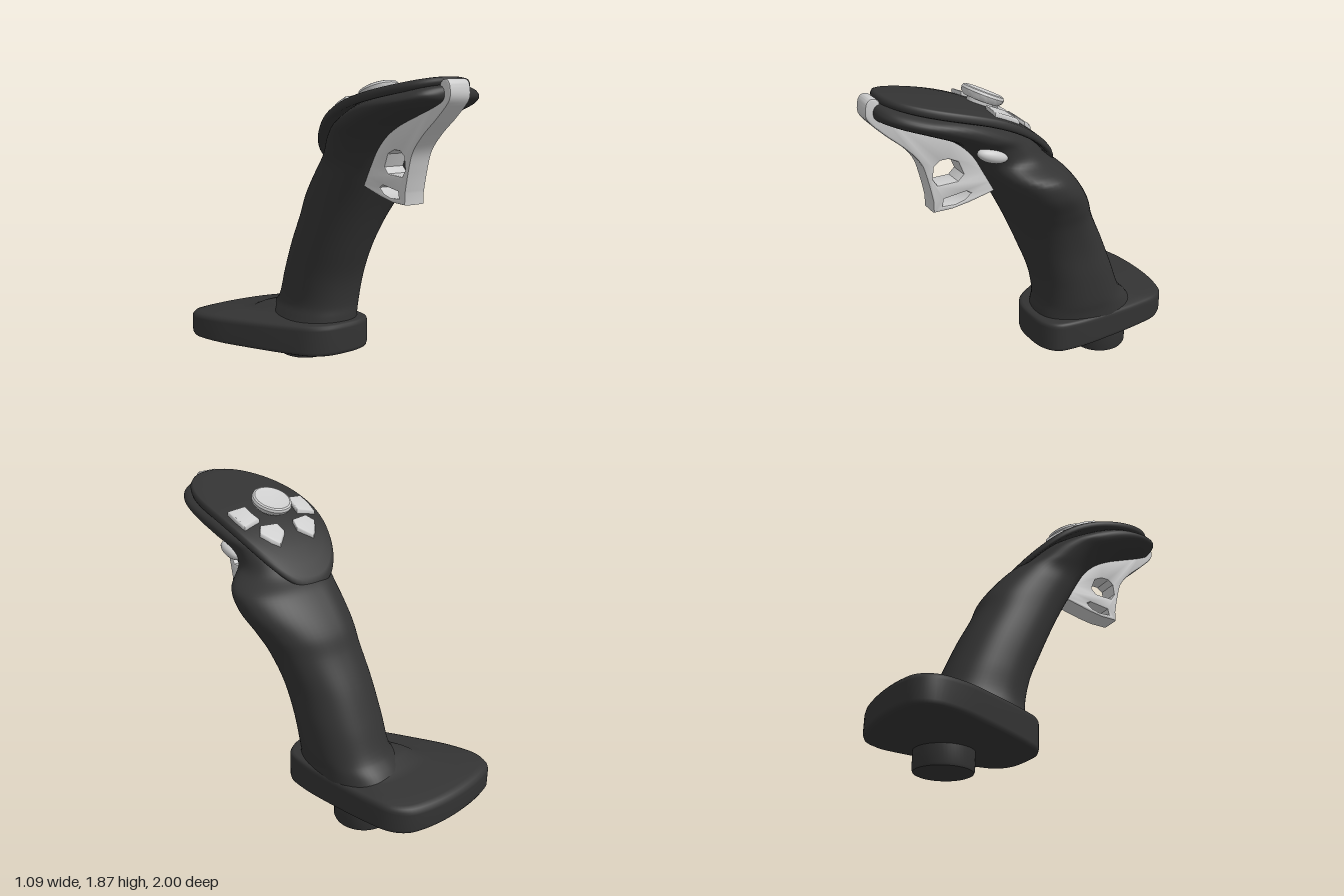
import * as THREE from 'three';
import { toCreasedNormals } from 'three/addons/utils/BufferGeometryUtils.js';

const CX = 0.115; // centre line of the grip
const dark = new THREE.MeshStandardMaterial({ color: 0x333333 });
const grey = new THREE.MeshStandardMaterial({ color: 0xcccccc });

const V2 = (p) => new THREE.Vector2(p[0], p[1]);
const V3 = (p) => new THREE.Vector3(p[0], p[1], p[2]);
const power = (v, e) => Math.sign(v) * Math.abs(v) ** e;

// Height of the curved top plate
function topY(x, z) {
  const u = 0.92 - z;
  return 1.87 - 0.167 * u - 0.31 * u ** 4 - 0.025 * ((x - CX) / 0.325) ** 2;
}

// Smooth skin over closed rings of equal length
function loft(rings) {
  const n = rings[0].length, index = [];
  for (let i = 0; i < rings.length - 1; i++) {
    for (let j = 0; j < n; j++) {
      const a = i * n + j, b = i * n + (j + 1) % n;
      index.push(a, b, b + n, a, b + n, a + n);
    }
  }
  const geometry = new THREE.BufferGeometry().setFromPoints(rings.flat());
  geometry.setIndex(index);
  geometry.computeVertexNormals();
  return geometry;
}

// Grip and head: each row pairs a front point (left-edge x, y, z) with a back point (right-edge x, y, z)
function gripGeometry() {
  const rows = [
    [[-0.2, 0.28, -0.02], [0.335, 0.28, -0.72]],
    [[-0.16, 0.36, -0.025], [0.34, 0.36, -0.66]],
    [[-0.13, 0.43, -0.03], [0.35, 0.43, -0.595]],
    [[-0.125, 0.6, 0.0], [0.36, 0.62, -0.515]],
    [[-0.12, 0.8, 0.08], [0.37, 0.82, -0.43]],
    [[-0.11, 1.0, 0.17], [0.42, 1.02, -0.33]],
    [[-0.105, 1.12, 0.23], [0.475, 1.14, -0.28]],
    [[-0.1, 1.25, 0.3], [0.535, 1.27, -0.19]],
    [[-0.1, 1.36, 0.36], [0.53, 1.36, -0.11]],
    [[-0.13, 1.46, 0.42], [0.41, 1.43, -0.02]],
    [[-0.17, 1.54, 0.5], [0.395, 1.53, 0.07]],
    [[-0.21, 1.6, 0.6], [0.43, 1.62, 0.2]],
    [[-0.215, 1.66, 0.75], [0.445, 1.74, 0.45]],
    [[-0.17, 1.71, 0.88], [0.4, 1.79, 0.7]],
    [[-0.08, 1.745, 0.95], [0.31, 1.825, 0.88]],
    [[0.03, 1.78, 0.965], [0.2, 1.825, 0.94]],
    [[0.115, 1.805, 0.965], [0.115, 1.81, 0.96]],
  ];
  const front = new THREE.CatmullRomCurve3(rows.map((r) => V3(r[0])));
  const back = new THREE.CatmullRomCurve3(rows.map((r) => V3(r[1])));
  const rings = [];
  for (let i = 0; i <= 90; i++) {
    const f = front.getPoint(i / 90), b = back.getPoint(i / 90), ring = [];
    for (let j = 0; j < 56; j++) {
      const a = (j / 56) * Math.PI * 2;
      const c = power(Math.cos(a), 0.88), s = power(Math.sin(a), 0.88);
      const x = CX + s * (s > 0 ? b.x - CX : CX - f.x);
      ring.push(new THREE.Vector3(x, (f.y + b.y) / 2 + c * (f.y - b.y) / 2, (f.z + b.z) / 2 + c * (f.z - b.z) / 2));
    }
    rings.push(ring);
  }
  return loft(rings);
}

// Base: one rounded outline scaled through a stack of heights
function baseGeometry() {
  const outline = new THREE.CatmullRomCurve3([
    [0.1, 0, 0.025], [0.24, 0, 0.005], [0.325, 0, -0.06], [0.348, 0, -0.2], [0.335, 0, -0.45],
    [0.305, 0, -0.7], [0.27, 0, -0.85], [0.2, 0, -0.935], [0.07, 0, -0.98], [-0.15, 0, -1.0],
    [-0.4, 0, -0.975], [-0.51, 0, -0.93], [-0.55, 0, -0.84], [-0.51, 0, -0.67], [-0.39, 0, -0.44],
    [-0.22, 0, -0.16], [-0.13, 0, -0.04], [-0.03, 0, 0.015],
  ].map(V3), true).getPoints(96).slice(0, 96);
  const stack = [ // scale, height, forward rise
    [0, 0.125, 0], [0.6, 0.127, 0], [0.95, 0.133, 0], [0.985, 0.14, 0], [1, 0.16, 0], [1, 0.26, 0.04],
    [0.995, 0.275, 0.04], [0.975, 0.292, 0.035], [0.93, 0.302, 0.03], [0.8, 0.315, 0.02],
    [0.6, 0.332, 0.01], [0.5, 0.348, 0], [0.42, 0.38, 0], [0.3, 0.4, 0], [0, 0.4, 0],
  ];
  return loft(stack.map(([s, y, rise]) => outline.map((p) => {
    const z = -0.33 + (p.z + 0.33) * s;
    return new THREE.Vector3(0.1 + (p.x - 0.1) * s, y + rise * (z + 1), z);
  })));
}

// Top plate: oval outline draped over the top curve
function plateGeometry() {
  const stack = [[0, -0.05], [0.6, -0.05], [0.95, -0.05], [0.99, -0.042], [1, -0.03], [1, -0.018],
    [0.985, -0.004], [0.96, 0], [0.85, 0], [0.7, 0], [0.5, 0], [0.3, 0], [0.15, 0], [0, 0]];
  return loft(stack.map(([s, dy]) => Array.from({ length: 72 }, (_, j) => {
    const a = (j / 72) * Math.PI * 2;
    const x = CX + 0.325 * s * power(Math.sin(a), 0.87);
    const z = 0.425 + 0.505 * s * power(Math.cos(a), 0.87);
    return new THREE.Vector3(x, topY(x, z) + dy, z);
  })));
}

// Trigger: side profile in (z, y) with two openings, extruded across x
function triggerGeometry() {
  const outer = new THREE.SplineCurve([[0.94, 1.855], [0.975, 1.855], [0.998, 1.82], [0.995, 1.75], [0.91, 1.66],
    [0.8, 1.565], [0.72, 1.47], [0.685, 1.36], [0.66, 1.24]].map(V2)).getPoints(48);
  const inner = new THREE.SplineCurve([[0.24, 1.25], [0.32, 1.36], [0.42, 1.49], [0.55, 1.61], [0.75, 1.71],
    [0.89, 1.77], [0.925, 1.84]].map(V2)).getPoints(30);
  const foot = [[0.66, 1.175], [0.55, 1.177], [0.45, 1.195], [0.35, 1.22]].map(V2);
  const shape = new THREE.Shape([...outer, ...foot, ...inner]);
  const holes = [
    [[0.655, 1.37], [0.645, 1.44], [0.61, 1.468], [0.56, 1.47], [0.505, 1.445], [0.475, 1.37], [0.51, 1.335], [0.63, 1.33]],
    [[0.605, 1.205], [0.595, 1.245], [0.46, 1.265], [0.435, 1.25], [0.47, 1.22], [0.53, 1.203]],
  ];
  holes.forEach((h) => shape.holes.push(new THREE.Path(h.map(V2))));
  const geometry = new THREE.ExtrudeGeometry(shape, {
    depth: 0.116, bevelThickness: 0.012, bevelSize: 0.01, bevelOffset: -0.01, bevelSegments: 2,
  });
  geometry.rotateY(-Math.PI / 2).translate(0.168, 0, 0);
  return toCreasedNormals(geometry, 0.6);
}

// Thin key from an (x, z) outline, laid on the plate
function keyGeometry(points) {
  const shape = new THREE.Shape(points.map(([x, z]) => new THREE.Vector2(x, -z)));
  const geometry = new THREE.ExtrudeGeometry(shape, {
    depth: 0.02, bevelThickness: 0.01, bevelSize: 0.01, bevelOffset: -0.008, bevelSegments: 3,
  });
  geometry.rotateX(-Math.PI / 2);
  const pos = geometry.attributes.position;
  for (let i = 0; i < pos.count; i++) {
    pos.setY(i, pos.getY(i) - 0.005 + topY(pos.getX(i), pos.getZ(i)));
  }
  return toCreasedNormals(geometry, 0.7);
}

export function createModel() {
  const model = new THREE.Group();
  const add = (name, geometry, material) => {
    const mesh = new THREE.Mesh(geometry, material);
    mesh.name = name;
    model.add(mesh);
    return mesh;
  };
  const lathe = (points) => toCreasedNormals(new THREE.LatheGeometry(points.map(V2), 48), 0.6);

  add('grip', gripGeometry(), dark);
  add('base', baseGeometry(), dark);
  add('topPlate', plateGeometry(), dark);

  // Mounting peg under the base
  add('mountingPeg', lathe([[0, 0], [0.155, 0], [0.169, 0.006], [0.175, 0.02], [0.175, 0.15]]), dark)
    .position.set(0.125, 0, -0.495);

  add('trigger', triggerGeometry(), grey);

  // Thumb stick disc on a short stem
  const thumb = add('thumbStick', lathe([[0, -0.1], [0.07, -0.1], [0.075, -0.03], [0.1, -0.028], [0.118, -0.01],
    [0.122, 0.008], [0.116, 0.022], [0.105, 0.027], [0.09, 0.023], [0, 0.02]]), grey);
  thumb.position.set(CX, 1.78, 0.322);
  thumb.rotation.x = -0.42;

  // Two keys on each side of the thumb stick
  const keys = {
    SideKey: [[-0.16, 0.38], [-0.158, 0.3], [-0.148, 0.24], [-0.03, 0.26], [-0.042, 0.315], [-0.04, 0.375]],
    RearKey: [[-0.09, 0.175], [-0.05, 0.125], [-0.01, 0.095], [0.065, 0.15], [0.055, 0.2], [-0.055, 0.215]],
  };
  for (const [name, points] of Object.entries(keys)) {
    add('right' + name, keyGeometry(points), grey);
    add('left' + name, keyGeometry(points.map(([x, z]) => [2 * CX - x, z])), grey);
  }

  // Oval button on the left flank
  const button = add('sideButton', new THREE.SphereGeometry(1, 32, 20), grey);
  button.scale.set(0.046, 0.04, 0.092);
  button.position.set(0.367, 1.52, 0.39);
  button.rotation.x = -0.3;

  return model;
}
